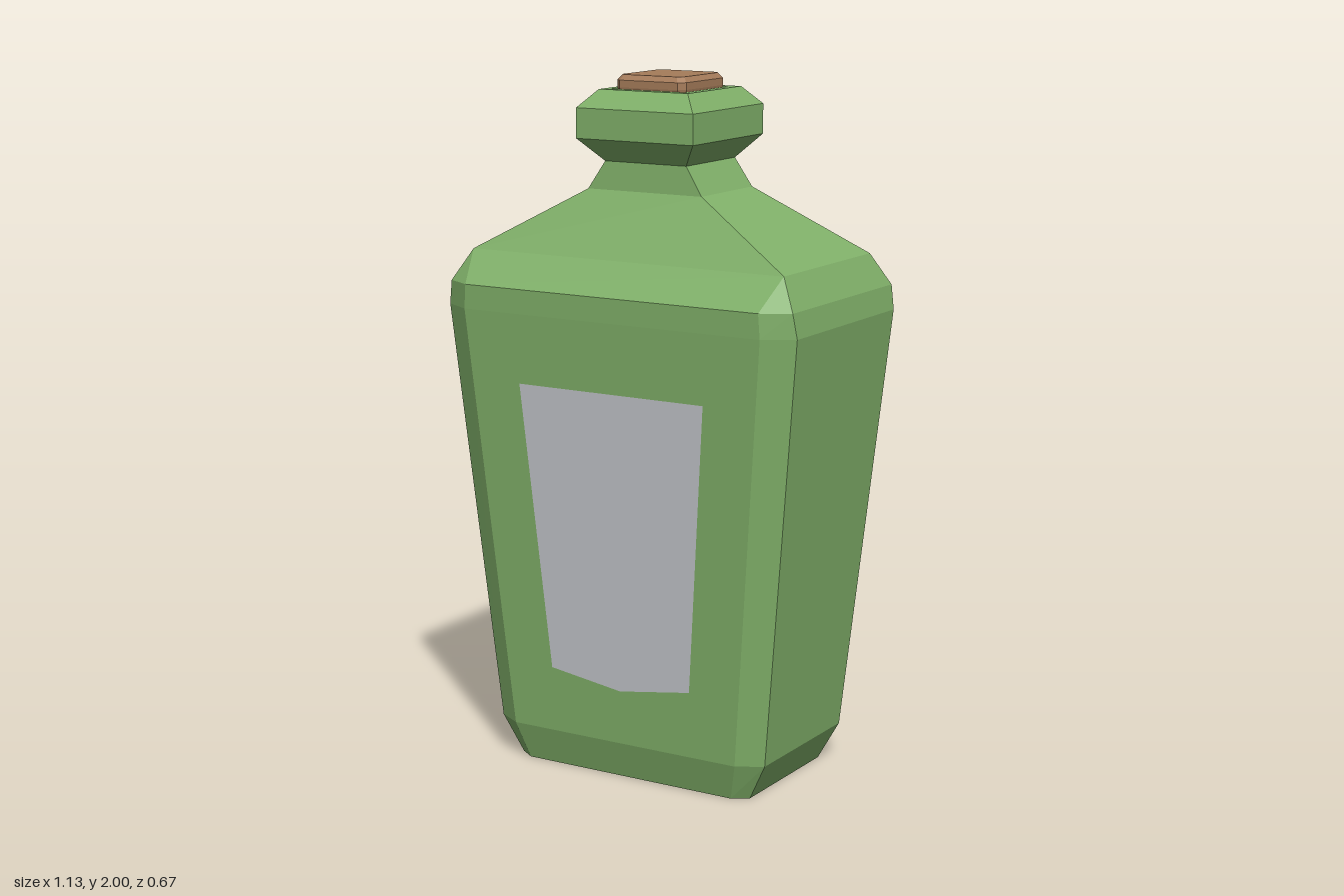
import * as THREE from 'three';

// Chamfered rectangle at height y: half sizes hx, hz and corner cuts cx, cz
function ring([y, hx, hz, cx = 0, cz = 0]) {
  return [
    [hx, hz - cz], [hx, cz - hz], [hx - cx, -hz], [cx - hx, -hz],
    [-hx, cz - hz], [-hx, hz - cz], [cx - hx, hz], [hx - cx, hz],
  ].map(([x, z]) => new THREE.Vector3(x, y, z));
}

// Skin the rings from bottom to top, with caps at both ends
function loft(sections) {
  const rings = sections.map(ring);
  const pos = [];
  const tri = (a, b, c) => {
    const area = b.clone().sub(a).cross(c.clone().sub(a)).length();
    if (area > 1e-8) pos.push(...a, ...b, ...c);
  };
  for (let r = 0; r < rings.length - 1; r++) {
    const lo = rings[r], hi = rings[r + 1];
    for (let i = 0; i < 8; i++) {
      const j = (i + 1) % 8;
      tri(lo[i], lo[j], hi[j]);
      tri(lo[i], hi[j], hi[i]);
    }
  }
  const first = rings[0], last = rings[rings.length - 1];
  for (let i = 1; i < 7; i++) {
    tri(first[0], first[i + 1], first[i]);
    tri(last[0], last[i], last[i + 1]);
  }
  const geo = new THREE.BufferGeometry();
  geo.setAttribute('position', new THREE.Float32BufferAttribute(pos, 3));
  geo.computeVertexNormals();
  return geo;
}

export function createModel() {
  const glass = new THREE.MeshStandardMaterial({ name: 'greenGlass', color: 0x80b069 });
  const paper = new THREE.MeshStandardMaterial({ name: 'greyLabel', color: 0xc4c6cc });
  const corkMat = new THREE.MeshStandardMaterial({ name: 'brownCork', color: 0xa67c5a });
  const model = new THREE.Group();
  model.name = 'bottle';
  const add = (name, geo, mat) => {
    const mesh = new THREE.Mesh(geo, mat);
    mesh.name = name;
    model.add(mesh);
    return mesh;
  };

  // Body, shoulders, neck, lip and the recess inside the lip
  add('bottleGlass', loft([
    [0, 0.385, 0.232, 0.045, 0.03],
    [0.11, 0.443, 0.264, 0.073, 0.042],
    [1.34, 0.566, 0.334, 0.086, 0.05],
    [1.41, 0.555, 0.335, 0.08, 0.045],
    [1.5, 0.505, 0.25],
    [1.68, 0.185, 0.14],
    [1.76, 0.132, 0.134],
    [1.825, 0.189, 0.194],
    [1.91, 0.189, 0.194],
    [1.96, 0.144, 0.146],
    [1.96, 0.118, 0.12],
    [1.92, 0.112, 0.114],
  ]), glass);

  // Cork stopper with bevelled edges
  add('cork', loft([
    [1.9, 0.1, 0.106, 0.015, 0.015],
    [1.965, 0.112, 0.118, 0.018, 0.018],
    [1.985, 0.112, 0.118, 0.018, 0.018],
    [2.0, 0.1, 0.106, 0.015, 0.015],
  ]), corkMat);

  // Label lying on the sloping front face
  const slope = Math.atan2(0.334 - 0.264, 1.34 - 0.11);
  const stretch = 1 / Math.cos(slope);
  const outline = [[-0.3, 1.14], [-0.23, 0.305], [0, 0.27], [0.23, 0.305], [0.3, 1.14]];
  const shape = new THREE.Shape(outline.map(([x, y]) => new THREE.Vector2(x, (y - 0.11) * stretch)));
  const label = add('label', new THREE.ShapeGeometry(shape), paper);
  label.position.set(0, 0.11, 0.267);
  label.rotation.x = slope;

  return model;
}
